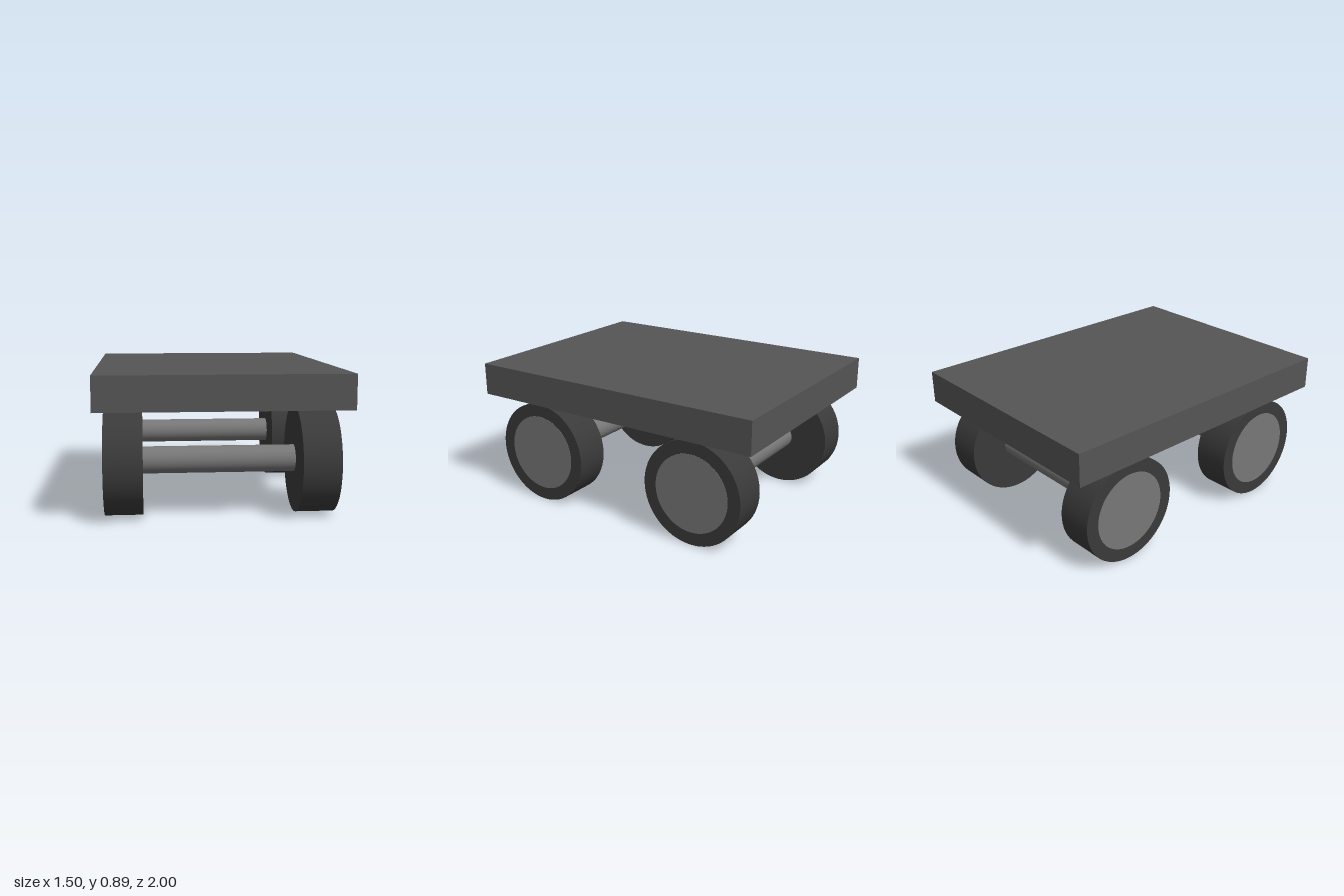
import * as THREE from 'three';

const WHEEL_R = 0.333, HUB_R = 0.25, AXLE_R = 0.083;
const WHEEL_IN = 0.467, WHEEL_OUT = 0.698, AXLE_Z = 0.583;

function material(color) {
  return new THREE.MeshStandardMaterial({ color });
}

// Cylinder lying along x, between x0 and x1
function crossCylinder(name, radius, x0, x1, mat) {
  const geometry = new THREE.CylinderGeometry(radius, radius, Math.abs(x1 - x0), 64);
  geometry.rotateZ(Math.PI / 2);
  const mesh = new THREE.Mesh(geometry, mat);
  mesh.name = name;
  mesh.position.x = (x0 + x1) / 2;
  return mesh;
}

export function createModel() {
  const model = new THREE.Group();
  model.name = 'cart';
  const deckMat = material(0x555555);
  const tyreMat = material(0x3a3a3a);
  const metalMat = material(0x777777);

  // Flat load deck
  const deck = new THREE.Mesh(new THREE.BoxGeometry(1.5, 0.208, 2), deckMat);
  deck.name = 'deck';
  deck.position.y = 0.785;
  model.add(deck);

  // Two wheel sets: an axle with a tyre and an outer hub disc at each end
  for (const [end, z] of [['front', AXLE_Z], ['rear', -AXLE_Z]]) {
    const set = new THREE.Group();
    set.name = `${end}WheelSet`;
    set.position.set(0, WHEEL_R, z);
    set.add(crossCylinder(`${end}Axle`, AXLE_R, -WHEEL_IN, WHEEL_IN, metalMat));
    for (const [side, s] of [['Left', 1], ['Right', -1]]) {
      set.add(crossCylinder(`${end}${side}Tyre`, WHEEL_R, s * WHEEL_IN, s * WHEEL_OUT, tyreMat));
      set.add(crossCylinder(`${end}${side}Hub`, HUB_R, s * (WHEEL_OUT - 0.02), s * (WHEEL_OUT + 0.002), metalMat));
    }
    model.add(set);
  }
  return model;
}
